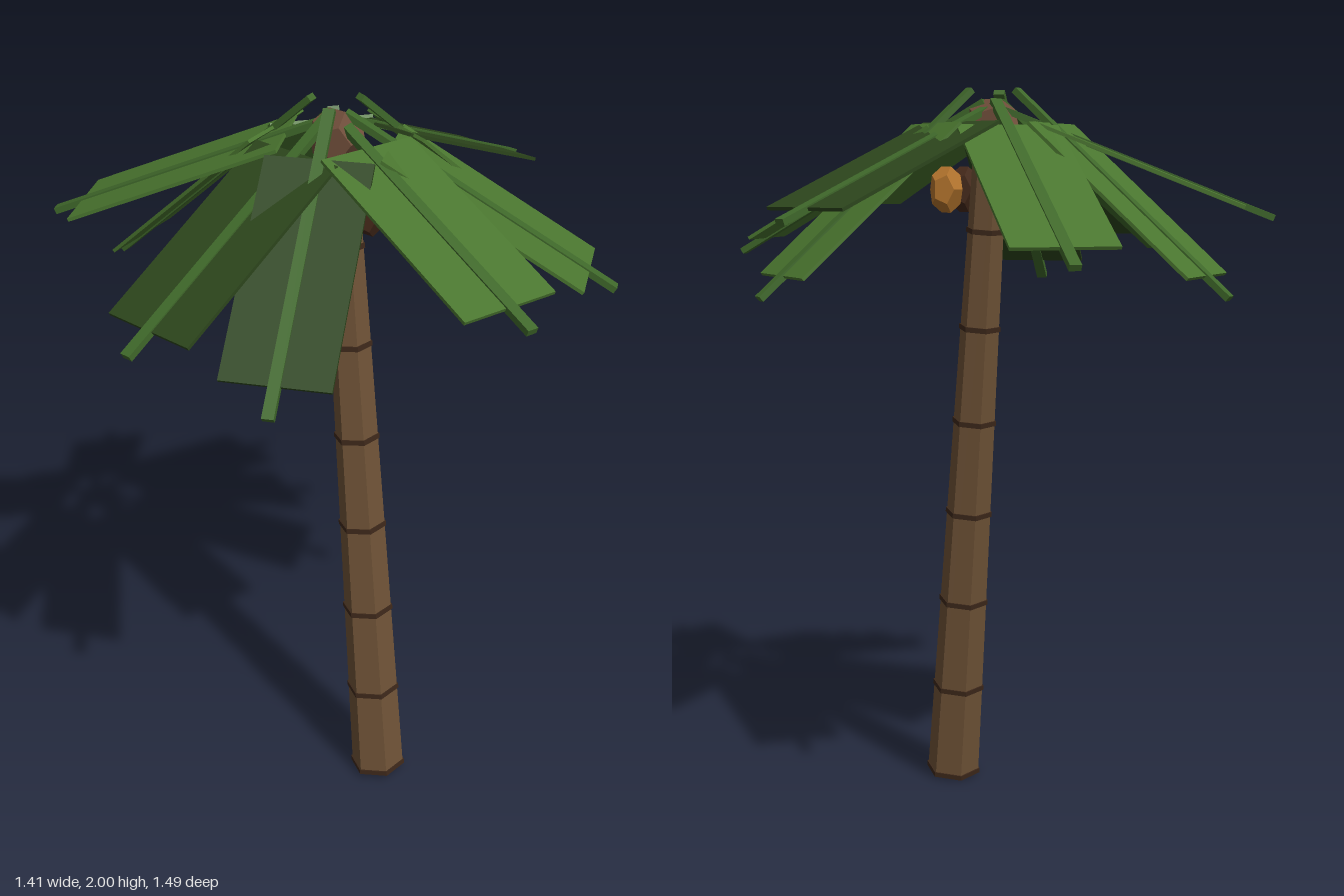
import * as THREE from 'three';

const mat = (color) => new THREE.MeshStandardMaterial({ color, flatShading: true });

export function createModel() {
  const model = new THREE.Group();
  const bark = mat(0x6e5236), ringMat = mat(0x3d281a), crownMat = mat(0x6e4c39);
  const stemMat = mat(0x3f682a), lightLeaf = mat(0x4a762f), darkLeaf = mat(0x2c451c);
  const fruitMat = mat(0xb3742c), darkFruit = mat(0x45291a);

  const add = (parent, name, geometry, material, x = 0, y = 0, z = 0) => {
    const mesh = new THREE.Mesh(geometry, material);
    mesh.name = name;
    mesh.position.set(x, y, z);
    parent.add(mesh);
    return mesh;
  };

  // Leaning six-sided trunk with bark rings
  const base = new THREE.Vector3(0.178, 0.012, 0.08);
  const top = new THREE.Vector3(-0.035, 1.9, 0.01);
  const axis = top.clone().sub(base);
  const length = axis.length();
  const trunk = new THREE.Group();
  trunk.name = 'trunk';
  trunk.position.copy(base);
  trunk.quaternion.setFromUnitVectors(new THREE.Vector3(0, 1, 0), axis.normalize());
  model.add(trunk);
  const radiusAt = (h) => 0.077 - 0.031 * h / length;
  add(trunk, 'trunkShaft', new THREE.CylinderGeometry(radiusAt(length), radiusAt(0), length, 6), bark, 0, length / 2, 0);
  for (let i = 0; i < 7; i++) {
    const h = 0.008 + i * 0.27;
    const r = radiusAt(h) + 0.004;
    add(trunk, 'barkRing', new THREE.CylinderGeometry(r, r, 0.014, 6), ringMat, 0, h, 0);
  }

  // Faceted knob where the fronds meet
  add(model, 'crown', new THREE.DodecahedronGeometry(0.075), crownMat, -0.037, 1.91, 0.01);

  // Hanging fruit around the trunk top
  const fruits = [[-0.155, 0, fruitMat], [0.035, -0.095, fruitMat], [0.03, 0.105, fruitMat], [0.075, 0.02, darkFruit]];
  for (const [x, z, m] of fruits) {
    const fruit = add(model, 'fruit', new THREE.DodecahedronGeometry(0.047), m, x, 1.74, z);
    fruit.scale.y = 1.4;
  }

  // Nine fronds cycling through three slopes: [slope in degrees, centre height]
  const slopes = [[21.5, 1.815], [41, 1.735], [30, 1.77]];
  const headings = [12.6, 62, 91, 148, 167, 213.7, 271, 289, 332];
  const darkOnes = [1, 2, 6];
  const rad = THREE.MathUtils.degToRad;
  headings.forEach((heading, i) => {
    const [slope, y] = slopes[i % 3];
    const frond = new THREE.Group();
    frond.name = 'frond';
    frond.position.set(-0.04, y, 0.01);
    frond.rotation.y = -rad(heading);
    model.add(frond);
    const arm = new THREE.Group();
    arm.name = 'frondArm';
    arm.position.x = 0.375;
    arm.rotation.z = -rad(slope);
    frond.add(arm);
    add(arm, 'frondStem', new THREE.BoxGeometry(0.81, 0.017, 0.03), stemMat);
    add(arm, 'frondLeaf', new THREE.BoxGeometry(0.59, 0.009, 0.275), darkOnes.includes(i) ? darkLeaf : lightLeaf, 0.028, 0, 0);
  });

  return model;
}
